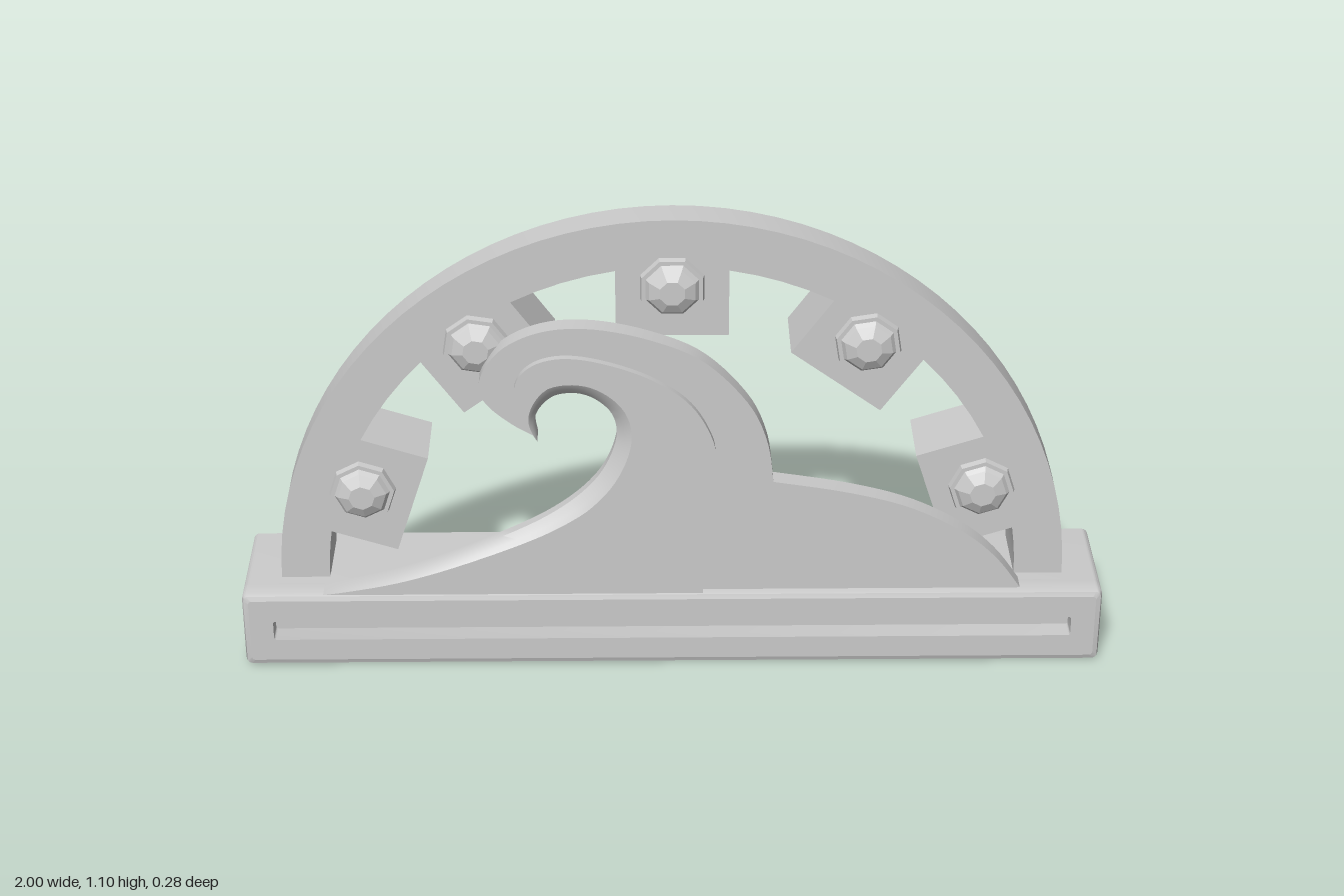
import * as THREE from 'three';
import { toCreasedNormals } from 'three/addons/utils/BufferGeometryUtils.js';

const material = new THREE.MeshStandardMaterial({ color: 0xcccccc, side: THREE.DoubleSide });
const flatMaterial = new THREE.MeshStandardMaterial({ color: 0xcccccc, flatShading: true });
const V = (x, y) => new THREE.Vector2(x, y);

function add(parent, name, geometry, mat = material) {
  const mesh = new THREE.Mesh(geometry, mat);
  mesh.name = name;
  parent.add(mesh);
  return mesh;
}

// Sheet through rows of outline points, each row at its own depth
function sheet(rows, closed = false) {
  const n = rows[0].points.length, pos = [], index = [];
  rows.forEach(r => r.points.forEach(p => pos.push(p.x, p.y, r.z)));
  for (let r = 0; r < rows.length - 1; r++) {
    for (let i = 0; i < (closed ? n : n - 1); i++) {
      const a = r * n + i, b = r * n + (i + 1) % n;
      index.push(a, a + n, b, b, a + n, b + n);
    }
  }
  const g = new THREE.BufferGeometry();
  g.setAttribute('position', new THREE.Float32BufferAttribute(pos, 3));
  g.setIndex(index);
  return toCreasedNormals(g, 0.6);
}

// Flat face at depth z
function face(points, z, hole) {
  const shape = new THREE.Shape(points);
  if (hole) shape.holes.push(new THREE.Path(hole));
  return new THREE.ShapeGeometry(shape).translate(0, 0, z);
}

const spline = (pts, n = 40) =>
  new THREE.SplineCurve(pts.map(p => V(p[0], p[1]))).getPoints(n);

// Rectangle outline with rounded corners, centred on height cy
function roundedRect(hw, hh, r, cy) {
  const pts = [];
  [[1, 1], [-1, 1], [-1, -1], [1, -1]].forEach(([sx, sy], k) => {
    for (let i = 0; i <= 4; i++) {
      const a = (k + i / 4) * Math.PI / 2;
      pts.push(V(sx * (hw - r) + r * Math.cos(a), cy + sy * (hh - r) + r * Math.sin(a)));
    }
  });
  return pts;
}

// Hollow base, open at the back, with a front groove and notched ends
function makeBase() {
  const base = new THREE.Group();
  base.name = 'base';
  const cy = 0.095, back = -0.14, notchFront = 0.09, front = 0.145, depth = 0.05;
  const outer = roundedRect(1, 0.095, 0.015, cy);
  const lip = roundedRect(0.996, 0.091, 0.012, cy);
  const rim = roundedRect(0.985, 0.08, 0.008, cy);
  const groove = roundedRect(0.93, 0.025, 0.006, cy);
  add(base, 'baseFrontRim', sheet([
    { points: outer, z: notchFront }, { points: outer, z: front - 0.015 },
    { points: lip, z: front - 0.004 }, { points: rim, z: front }], true));
  add(base, 'baseFront', face(rim, front, groove));
  add(base, 'frontGrooveWall', sheet([{ points: groove, z: front }, { points: groove, z: front - depth }], true));
  add(base, 'frontGrooveFloor', face(groove, front - depth));

  // Outline with a notch cut into each end
  const right = [V(1, 0.07), V(1 - depth, 0.07), V(1 - depth, 0.12), V(1, 0.12)];
  const left = right.map(p => V(-p.x, p.y)).reverse();
  const notched = [...outer.slice(0, 10), ...left, ...outer.slice(10), ...right];
  add(base, 'baseShell', sheet([{ points: notched, z: back }, { points: notched, z: notchFront }], true));
  add(base, 'leftNotchEnd', face(right, notchFront));
  add(base, 'rightNotchEnd', face(left, notchFront));
  return base;
}

// Arch shell with square teeth facing inward, and a gem on each tooth
function makeArch() {
  const arch = new THREE.Group();
  arch.name = 'arch';
  const cy = 0.19, R = 0.913, r = 0.8, toothR = 0.63, half = 0.127, foot = 0.08;
  const at = (rad, a) => V(rad * Math.cos(a), cy + rad * Math.sin(a));
  const outer = [V(R, foot)], inner = [V(r, foot)];
  for (let i = 0; i <= 48; i++) outer.push(at(R, Math.PI * i / 48));
  outer.push(V(-R, foot));

  const spread = Math.asin(half / r);
  const toothAngles = [0, 1, 2, 3, 4].map(i => (18 + 36 * i) * Math.PI / 180);
  const arc = (a0, a1) => {
    for (let i = 0; i <= 4; i++) inner.push(at(r, a0 + (a1 - a0) * i / 4));
  };
  let last = 0;
  for (const a of toothAngles) {
    arc(last, a - spread);
    for (const s of [-1, 1]) {
      inner.push(at(Math.hypot(toothR, half), a + s * Math.atan2(half, toothR)));
    }
    last = a + spread;
  }
  arc(last, Math.PI);
  inner.push(V(-r, foot));

  add(arch, 'archFront', face([...outer, ...inner.slice().reverse()], 0.06));
  add(arch, 'archOuterWall', sheet([{ points: outer, z: -0.02 }, { points: outer, z: 0.06 }]));
  add(arch, 'archToothedWall', sheet([{ points: inner, z: -0.113 }, { points: inner, z: 0.06 }]));

  for (const a of toothAngles) {
    const gem = new THREE.Group();
    gem.name = 'gem';
    const layer = (name, top, bottom, z0, z1) => add(gem, name,
      new THREE.CylinderGeometry(top, bottom, z1 - z0, 8).rotateX(Math.PI / 2).translate(0, 0, (z0 + z1) / 2), flatMaterial);
    layer('gemSetting', 0.074, 0.078, 0.058, 0.074);
    layer('gemGirdle', 0.056, 0.064, 0.074, 0.084);
    layer('gemCrown', 0.03, 0.056, 0.084, 0.097);
    const p = at(0.75, a);
    gem.position.set(p.x, p.y, 0);
    gem.rotation.z = a + Math.PI / 8;
    arch.add(gem);
  }
  return arch;
}

// Curling wave: crest band with hill, and a raised body inside the curl
function makeWave() {
  const wave = new THREE.Group();
  wave.name = 'wave';
  const back = 0.078, crestZ = 0.125, bodyZ = 0.142;
  const crest = spline([[-0.305, 0.594], [-0.37, 0.635], [-0.425, 0.69], [-0.43, 0.75], [-0.38, 0.82],
    [-0.29, 0.862], [-0.18, 0.868], [-0.05, 0.84], [0.07, 0.785], [0.17, 0.68], [0.215, 0.58], [0.23, 0.476]], 60);
  const hill = spline([[0.23, 0.476], [0.4, 0.447], [0.545, 0.406], [0.67, 0.34], [0.75, 0.27], [0.808, 0.19]], 24);
  const edge = spline([[0.07, 0.19], [0.075, 0.35], [0.097, 0.53], [0.085, 0.61], [0.03, 0.695], [-0.07, 0.76],
    [-0.2, 0.8], [-0.29, 0.796], [-0.345, 0.755], [-0.352, 0.69], [-0.305, 0.594]], 60);
  const curl = spline([[-0.305, 0.594], [-0.308, 0.65], [-0.265, 0.697], [-0.195, 0.698], [-0.137, 0.65],
    [-0.13, 0.575], [-0.18, 0.475], [-0.29, 0.383], [-0.47, 0.295], [-0.64, 0.23], [-0.81, 0.19]], 70);

  // Curl edge moved into the body, tapering out at both ends
  const inset = d => curl.map((p, i) => {
    const t = curl[Math.min(i + 1, 70)].clone().sub(curl[Math.max(i - 1, 0)]).normalize();
    const w = d * Math.min(1, i / 14, (70 - i) / 25);
    return V(p.x - t.y * w, Math.max(0.19, p.y + t.x * w));
  });
  const shoulder = inset(0.018), lip = inset(0.034);
  const outline = [...crest, ...hill.slice(1)];
  add(wave, 'crestFace', face([...outline, ...edge.slice(0, -1)], crestZ));
  add(wave, 'crestWall', sheet([{ points: outline, z: back }, { points: outline, z: crestZ }]));
  add(wave, 'bodyFace', face([...edge, ...lip.slice(1)], bodyZ));
  add(wave, 'bodyStep', sheet([{ points: edge, z: crestZ }, { points: edge, z: bodyZ }]));
  add(wave, 'curlSlope', sheet([{ points: curl, z: 0.09 }, { points: curl, z: 0.115 },
    { points: shoulder, z: 0.133 }, { points: lip, z: bodyZ }]));
  return wave;
}

export function createModel() {
  const model = new THREE.Group();
  model.name = 'waveArch';
  model.add(makeBase(), makeArch(), makeWave());
  return model;
}
